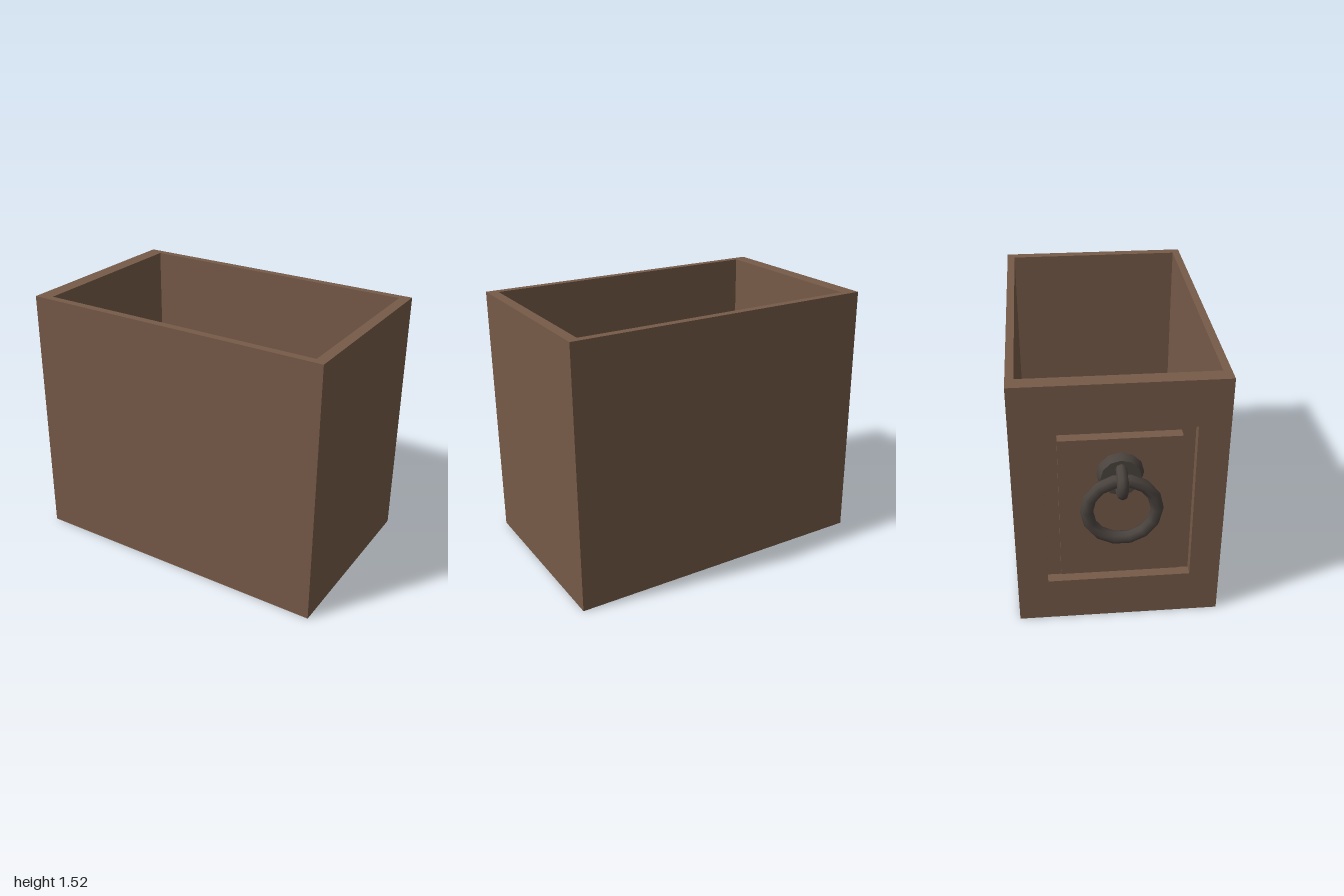
import * as THREE from 'three';

// Rectangle with a rectangular hole, extruded
function frameGeometry(outer, inner, depth) {
  const corners = ([x0, y0, x1, y1]) => [[x0, y0], [x1, y0], [x1, y1], [x0, y1]]
    .map(([x, y]) => new THREE.Vector2(x, y));
  const shape = new THREE.Shape(corners(outer));
  shape.holes.push(new THREE.Path(corners(inner).reverse()));
  return new THREE.ExtrudeGeometry(shape, { depth, bevelEnabled: false });
}

export function createModel() {
  const group = new THREE.Group();
  const wood = new THREE.MeshStandardMaterial({ name: 'brown wood', color: 0x765a48 });
  const iron = new THREE.MeshStandardMaterial({ name: 'dark iron', color: 0x4a433e });

  const add = (name, geometry, material, parent = group) => {
    const mesh = new THREE.Mesh(geometry, material);
    mesh.name = name;
    parent.add(mesh);
    return mesh;
  };

  const H = 1.52, faceX = -0.825, groove = 0.06, backX = faceX + groove;

  // Open box: four walls and a floor
  add('walls', frameGeometry([backX, -0.57, 1, 0.57], [-0.735, -0.525, 0.94, 0.525], H)
    .rotateX(-Math.PI / 2), wood);
  add('floor', new THREE.BoxGeometry(1.675, 0.05, 1.05).translate(0.1025, 0.025, 0), wood);

  // Pull face: outer frame and flush centre panel with a groove between them
  add('faceFrame', frameGeometry([-0.57, 0, 0.57, H], [-0.4, 0.27, 0.4, 1.25], groove)
    .rotateY(-Math.PI / 2).translate(backX, 0, 0), wood);
  add('centrePanel', new THREE.BoxGeometry(groove, 0.88, 0.65)
    .translate(faceX + groove / 2, 0.76, 0), wood);

  // Ring pull
  const handle = new THREE.Group();
  handle.name = 'ringPull';
  group.add(handle);
  add('handleBase', new THREE.CylinderGeometry(0.108, 0.126, 0.05, 12)
    .rotateZ(Math.PI / 2).translate(-0.85, 0.99, 0), iron, handle);
  const staplePath = new THREE.CatmullRomCurve3([
    [-0.86, 1.05], [-0.915, 1.04], [-0.957, 1.02], [-0.97, 0.985],
    [-0.955, 0.945], [-0.915, 0.925], [-0.86, 0.92],
  ].map(([x, y]) => new THREE.Vector3(x, y, 0)));
  add('staple', new THREE.TubeGeometry(staplePath, 12, 0.03, 8), iron, handle);
  add('ring', new THREE.TorusGeometry(0.185, 0.035, 8, 14)
    .rotateY(Math.PI / 2).translate(-0.925, 0.825, 0), iron, handle);

  return group;
}
